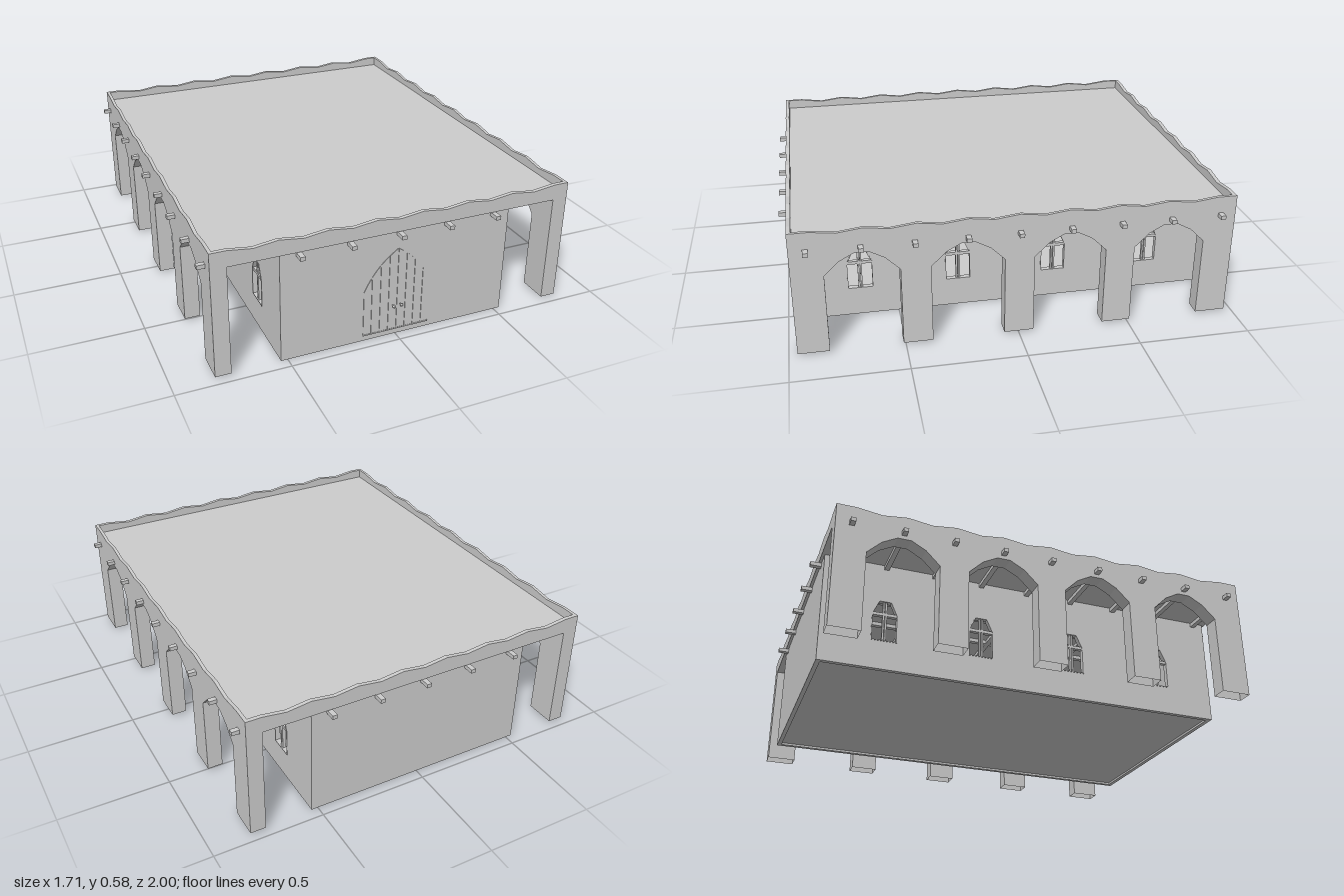
import * as THREE from 'three';

const mat = new THREE.MeshStandardMaterial({ color: 0xcccccc, flatShading: true, side: THREE.DoubleSide });
const BAYS = [-0.668, -0.223, 0.223, 0.668]; // arch and window centres along z

const toShape = (pts) => new THREE.Shape(pts.map(([a, b]) => new THREE.Vector2(a, b)));
const extrude = (shape, depth) =>
  new THREE.ExtrudeGeometry(shape, { depth, bevelEnabled: false, curveSegments: 8 });

export function createModel() {
  const model = new THREE.Group();

  const add = (name, geo, x = 0, y = 0, z = 0, parent = model) => {
    const m = new THREE.Mesh(geo, mat);
    m.name = name;
    m.position.set(x, y, z);
    parent.add(m);
    return m;
  };
  const box = (name, w, h, d, x, y, z, parent) =>
    add(name, new THREE.BoxGeometry(w, h, d), x, y, z, parent);

  // Roof slab
  box('roofSlab', 1.61, 0.03, 1.89, 0, 0.525, 0);

  // Parapet strip with a scalloped top edge, flat at the ends
  const parapetShape = (half, waves) => {
    const pts = [[-half, 0.51], [half, 0.51], [half, 0.583]];
    const inner = half - 0.07, n = waves * 4;
    for (let i = 0; i <= n; i++) {
      const y = 0.576 + 0.007 * Math.cos((i / n) * waves * Math.PI * 2);
      pts.push([inner - (2 * inner * i) / n, y]);
    }
    pts.push([-half, 0.583]);
    return toShape(pts);
  };
  const endParapet = extrude(parapetShape(0.82, 7), 0.018);
  add('frontParapet', endParapet, 0, 0, 0.945);
  add('backParapet', endParapet, 0, 0, -0.963);
  const sideParapet = extrude(parapetShape(0.945, 8), 0.015).rotateY(Math.PI / 2);
  add('leftParapet', sideParapet, 0.805);
  add('rightParapet', sideParapet, -0.82);

  // Arcade wall: one outline running down each pillar and over each arch
  const arch = [[-0.158, 0.01], [-0.158, 0.375], [-0.095, 0.437], [-0.03, 0.472],
    [0.03, 0.472], [0.095, 0.437], [0.158, 0.375], [0.158, 0.01]];
  const outline = [[-0.963, 0.51], [-0.963, 0.01]];
  for (const c of BAYS) for (const [u, y] of arch) outline.push([u + c, y]);
  outline.push([0.963, 0.01], [0.963, 0.51]);
  const solid = extrude(toShape(outline), 0.07).rotateY(Math.PI / 2);
  // Pillars are open underneath: drop the triangles lying on the bottom plane
  const p = solid.attributes.position, kept = [];
  for (let i = 0; i < p.count; i += 3) {
    if ([0, 1, 2].every((k) => p.getY(i + k) < 0.011)) continue;
    for (let k = 0; k < 3; k++) kept.push(p.getX(i + k), p.getY(i + k), p.getZ(i + k));
  }
  const arcade = new THREE.BufferGeometry();
  arcade.setAttribute('position', new THREE.Float32BufferAttribute(kept, 3));
  arcade.computeVertexNormals();
  add('leftArcade', arcade, 0.75);
  add('rightArcade', arcade, -0.82);

  // Beams poking out through the walls on all four sides
  for (let i = -4; i <= 4; i++) box('crossBeam', 1.71, 0.018, 0.022, 0, 0.498, i * 0.2235);
  for (let i = -2; i <= 2; i++) box('longBeam', 0.022, 0.018, 2, i * 0.2245, 0.498, 0);

  // Inner hall: end walls, side walls with window holes, recessed floor
  const T = 0.02;
  box('hallFrontWall', 1.06, 0.51, T, 0, 0.255, 0.95 - T / 2);
  box('hallBackWall', 1.06, 0.51, T, 0, 0.255, -0.95 + T / 2);
  box('hallFloor', 1.02, 0.01, 1.86, 0, 0.015, 0);
  const windowPts = [[-0.058, 0.133], [0.058, 0.133], [0.058, 0.265], [0.028, 0.33], [-0.028, 0.33], [-0.058, 0.265]];
  const sideShape = toShape([[-0.93, 0], [0.93, 0], [0.93, 0.51], [-0.93, 0.51]]);
  for (const c of BAYS) {
    sideShape.holes.push(new THREE.Path(windowPts.map(([u, y]) => new THREE.Vector2(u + c, y)).reverse()));
  }
  const sideWall = extrude(sideShape, T).rotateY(Math.PI / 2);
  add('hallLeftWall', sideWall, 0.53 - T);
  add('hallRightWall', sideWall, -0.53);

  // Window bars: paired casement stiles, a transom and a slim rim
  const rimShape = toShape(windowPts);
  rimShape.holes.push(new THREE.Path(windowPts.map(([u, y]) =>
    new THREE.Vector2(u * 0.94, 0.23 + (y - 0.23) * 0.96)).reverse()));
  const rim = extrude(rimShape, 0.024).rotateY(Math.PI / 2);
  for (const s of [-1, 1]) for (const c of BAYS) {
    const win = new THREE.Group();
    win.name = 'window';
    win.position.set(s * (0.53 - T / 2), 0, c);
    model.add(win);
    add('windowRim', rim, -0.012, 0, 0, win);
    for (const d of [-1, 1]) box('windowStile', 0.014, 0.19, 0.008, 0, 0.23, d * 0.0055, win);
    box('windowTransom', 0.018, 0.014, 0.114, 0, 0.264, 0, win);
  }

  // Pointed double door made of planks
  const door = new THREE.Group();
  door.name = 'door';
  door.position.z = 0.95;
  model.add(door);
  const archY = (x) => { // pointed arch height at x
    const t = Math.abs(x) / 0.157;
    return 0.24 + 0.185 * (1 - 0.6 * t - 0.4 * t * t * t);
  };
  const edges = [-0.157, -0.12, -0.08, -0.04, 0, 0.04, 0.08, 0.12, 0.157];
  for (let i = 0; i < 8; i++) {
    const a = edges[i] + 0.002, b = edges[i + 1] - 0.002;
    const pts = [[a, 0.03], [b, 0.03]];
    for (let k = 0; k <= 3; k++) {
      const x = b + ((a - b) * k) / 3;
      pts.push([x, archY(x)]);
    }
    add('doorPlank', extrude(toShape(pts), 0.003), 0, 0, 0, door);
  }
  box('doorSill', 0.314, 0.006, 0.005, 0, 0.028, 0.002, door);
  for (const s of [-1, 1]) {
    add('handleStem', new THREE.CylinderGeometry(0.003, 0.003, 0.016, 8).rotateX(Math.PI / 2), s * 0.018, 0.15, 0.009, door);
    add('handleKnob', new THREE.SphereGeometry(0.007, 10, 8), s * 0.018, 0.15, 0.018, door);
  }
  return model;
}
